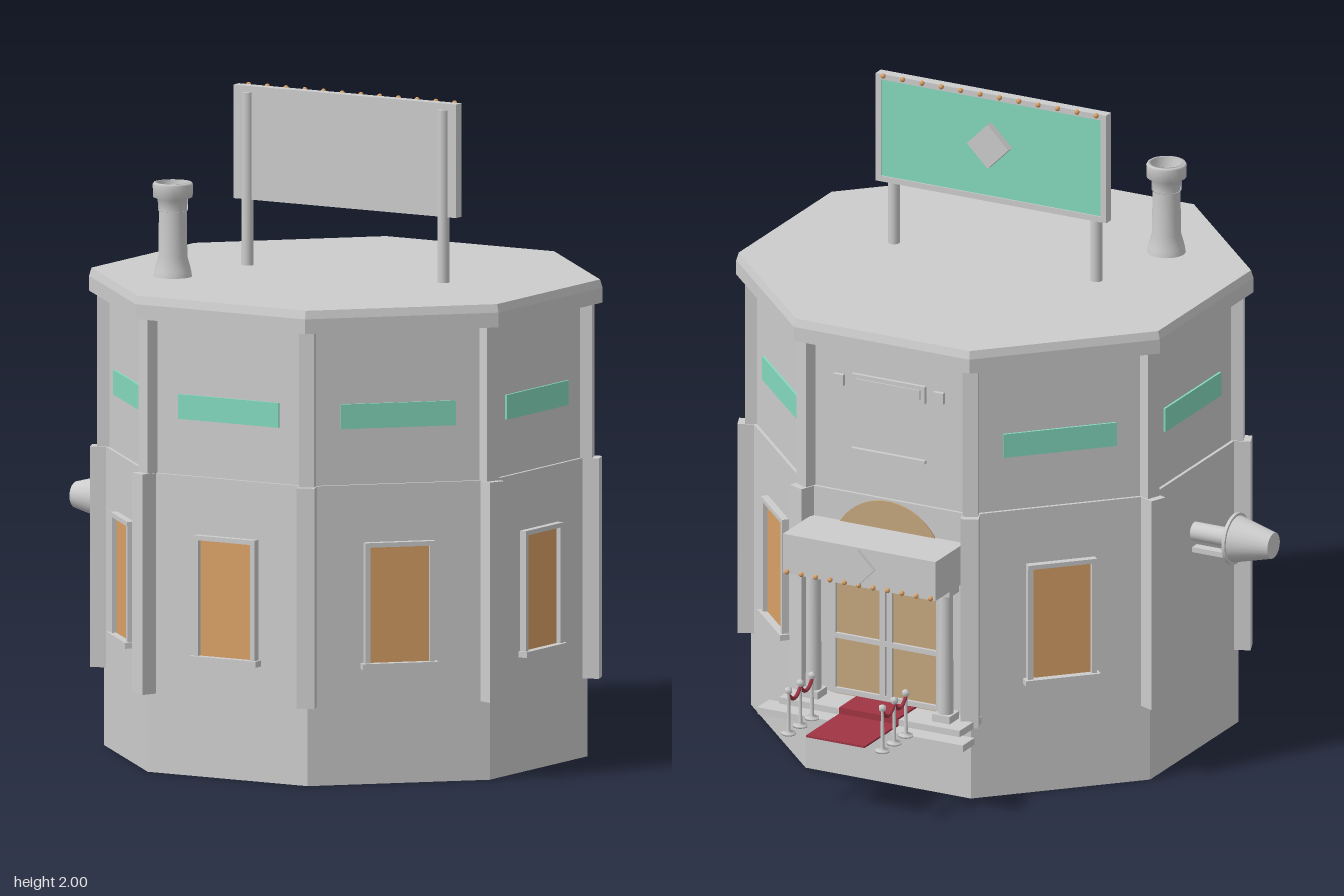
import * as THREE from 'three';

const mat = (name, color) => {
  const m = new THREE.MeshStandardMaterial({ color });
  m.name = name;
  return m;
};

export function createModel() {
  const grey = mat('stone grey', 0xcccccc);
  const teal = mat('teal glass', 0x84d9be);
  const amber = mat('amber glass', 0xd9a066);
  const tan = mat('door tan', 0xc4a57c);
  const red = mat('carpet red', 0xa03444);

  const model = new THREE.Group();
  model.name = 'octagonalTheatre';
  const CX = 0.11, CZ = 0.157, A = 0.68, UP = 0.67;

  const add = (parent, name, geo, m, x = 0, y = 0, z = 0) => {
    const mesh = new THREE.Mesh(geo, m);
    mesh.name = name;
    mesh.position.set(x, y, z);
    parent.add(mesh);
    return mesh;
  };
  const box = (p, name, m, w, h, d, x, y, z) =>
    add(p, name, new THREE.BoxGeometry(w, h, d), m, x, y, z);
  const group = (parent, name, x = 0, y = 0, z = 0, ry = 0) => {
    const g = new THREE.Group();
    g.name = name;
    g.position.set(x, y, z);
    g.rotation.y = ry;
    parent.add(g);
    return g;
  };
  // Flat-sided octagonal prism given by its apothem
  const octagon = (name, a, y0, y1, aTop = a) => {
    const k = 1 / Math.cos(Math.PI / 8);
    let geo = new THREE.CylinderGeometry(aTop * k, a * k, y1 - y0, 8);
    geo.rotateY(Math.PI / 8);
    geo = geo.toNonIndexed();
    geo.computeVertexNormals();
    return add(model, name, geo, grey, CX, (y0 + y1) / 2, CZ);
  };
  // Rod lying along the local z axis
  const rod = (p, name, r0, r1, z0, z1, x, y) => {
    const geo = new THREE.CylinderGeometry(r1, r0, z1 - z0, 24).rotateX(Math.PI / 2);
    return add(p, name, geo, grey, x, y, (z0 + z1) / 2);
  };

  // Tower body and roof
  octagon('lowerWalls', A, 0, 0.91);
  octagon('upperWalls', UP, 0.91, 1.39);
  octagon('cornice', 0.722, 1.38, 1.425);
  octagon('roofSlab', 0.722, 1.425, 1.45, 0.715);

  // Corner pilasters
  for (let i = 0; i < 8; i++) {
    const corner = group(model, 'cornerPilaster', CX, 0, CZ, (i + 0.5) * Math.PI / 4);
    box(corner, 'lowerPilaster', grey, 0.054, 0.67, 0.07, 0, 0.575, 0.74);
    box(corner, 'upperPilaster', grey, 0.046, 0.47, 0.06, 0, 1.145, 0.723);
  }

  // Walls: local +z points outwards from each face
  const faces = [];
  for (let i = 0; i < 8; i++) faces.push(group(model, 'wallFace', CX, 0, CZ, i * Math.PI / 4));
  faces.forEach((f, i) => {
    if (i === 4) return;
    box(f, 'upperWindow', teal, 0.355, 0.075, 0.008, 0, 1.118, UP + 0.003);
    if (i === 6) return;
    box(f, 'windowPane', amber, 0.19, 0.36, 0.008, 0, 0.545, A + 0.003);
    for (const s of [-1, 1]) box(f, 'windowJamb', grey, 0.016, 0.37, 0.022, s * 0.1, 0.545, A + 0.01);
    box(f, 'windowHead', grey, 0.216, 0.014, 0.024, 0, 0.728, A + 0.01);
    box(f, 'windowSill', grey, 0.235, 0.018, 0.034, 0, 0.36, A + 0.014);
  });

  // Tapered lamp on the side wall
  const lamp = group(faces[6], 'sideLamp');
  rod(lamp, 'lampPipe', 0.029, 0.029, 0.66, 0.83, 0, 0.705);
  rod(lamp, 'lampRim', 0.08, 0.08, 0.815, 0.825, 0, 0.705);
  rod(lamp, 'lampCone', 0.072, 0.04, 0.825, 0.95, 0, 0.705);
  box(lamp, 'lampBracket', grey, 0.03, 0.016, 0.15, 0, 0.65, 0.745);

  // Chimney
  const flue = [[0.058, 0], [0.055, 0.02], [0.044, 0.06], [0.042, 0.2], [0.045, 0.235], [0.06, 0.242],
    [0.061, 0.28], [0.057, 0.286], [0.047, 0.286], [0.045, 0.2], [0, 0.2]];
  const flueGeo = new THREE.LatheGeometry(flue.map(([r, y]) => new THREE.Vector2(r, y)), 28);
  add(model, 'chimney', flueGeo, grey, -0.305, 1.45, 0.475);

  // Roof billboard, facing the entrance side
  const board = group(model, 'billboard', CX, 0, 0);
  box(board, 'boardBack', grey, 0.785, 0.345, 0.022, 0, 1.822, 0.153);
  box(board, 'boardPanel', teal, 0.75, 0.31, 0.008, 0, 1.822, 0.139);
  for (const s of [-1, 1]) {
    add(board, 'boardPost', new THREE.CylinderGeometry(0.018, 0.018, 0.53, 16), grey, s * 0.345, 1.71, 0.159);
    box(board, 'boardSideTrim', grey, 0.018, 0.345, 0.012, s * 0.3835, 1.822, 0.137);
    box(board, 'boardEdgeTrim', grey, 0.785, 0.018, 0.012, 0, 1.822 + s * 0.1635, 0.137);
  }
  box(board, 'boardOrnament', grey, 0.1, 0.1, 0.026, 0, 1.833, 0.123).rotation.z = Math.PI / 4;
  for (let i = 0; i < 12; i++)
    add(board, 'boardBulb', new THREE.SphereGeometry(0.008, 10, 8), amber, (i - 5.5) * 0.066, 1.992, 0.124);

  // Entrance: steps
  const door = group(faces[4], 'entrance');
  box(door, 'landing', grey, 0.56, 0.04, 0.07, 0, 0.24, 0.695);
  box(door, 'upperStep', grey, 0.615, 0.022, 0.14, 0, 0.25, 0.73);
  box(door, 'lowerStep', grey, 0.7, 0.022, 0.075, 0, 0.23, 0.822);

  // Double door with arched top light
  const arch = new THREE.Shape();
  arch.moveTo(-0.19, 0.26);
  arch.lineTo(0.19, 0.26);
  arch.lineTo(0.19, 0.715);
  arch.absarc(0, 0.715, 0.19, 0, Math.PI, false);
  arch.closePath();
  add(door, 'doorGlass', new THREE.ExtrudeGeometry(arch, { depth: 0.006, bevelEnabled: false, curveSegments: 20 }),
    tan, 0, 0, A);
  for (const x of [-0.18, -0.012, 0.012, 0.18])
    box(door, 'doorStile', grey, 0.018, 0.42, 0.016, x, 0.475, A + 0.008);
  for (const y of [0.275, 0.45, 0.67])
    box(door, 'doorRail', grey, 0.36, 0.016, 0.016, 0, y, A + 0.008);
  for (const s of [-1, 1]) {
    add(door, 'doorColumn', new THREE.CylinderGeometry(0.022, 0.024, 0.42, 16), grey, s * 0.225, 0.47, 0.735);
    box(door, 'columnBase', grey, 0.06, 0.025, 0.06, s * 0.225, 0.272, 0.735);
    box(door, 'columnCapital', grey, 0.06, 0.025, 0.06, s * 0.225, 0.68, 0.735);
  }

  // Canopy with bulbs along its lower edge
  box(door, 'canopy', grey, 0.52, 0.125, 0.19, 0, 0.753, 0.77);
  box(door, 'canopyOrnament', grey, 0.08, 0.08, 0.02, 0, 0.755, 0.868).rotation.z = Math.PI / 4;
  for (let i = 0; i < 11; i++)
    add(door, 'canopyBulb', new THREE.SphereGeometry(0.008, 10, 8), amber, (i - 5) * 0.049, 0.697, 0.868);

  // Trim on the wall above the entrance
  box(door, 'wallPlaque', grey, 0.25, 0.055, 0.012, 0, 1.265, UP + 0.005);
  box(door, 'plaqueInset', grey, 0.22, 0.03, 0.006, 0, 1.265, UP + 0.012);
  for (const s of [-1, 1]) box(door, 'wallStud', grey, 0.035, 0.035, 0.014, s * 0.17, 1.265, UP + 0.006);
  box(door, 'wallLedge', grey, 0.25, 0.01, 0.014, 0, 1.05, UP + 0.006);

  // Carpet running down the steps
  box(door, 'carpetTop', red, 0.2, 0.006, 0.12, 0, 0.264, 0.744);
  box(door, 'carpetRiser', red, 0.2, 0.025, 0.006, 0, 0.2545, 0.803);
  box(door, 'carpetRunner', red, 0.2, 0.006, 0.215, 0, 0.244, 0.91);

  // Rope barriers on both sides of the carpet
  const posts = [0.867, 0.941, 1.016];
  const pole = [[0, 0], [0.022, 0], [0.022, 0.006], [0.006, 0.012], [0.005, 0.128], [0.011, 0.134],
    [0.011, 0.146], [0, 0.152]].map(([r, y]) => new THREE.Vector2(r, y));
  for (const s of [-1, 1]) {
    const barrier = group(door, 'ropeBarrier', s * 0.16, 0.24, 0);
    for (const z of posts) add(barrier, 'barrierPost', new THREE.LatheGeometry(pole, 14), grey, 0, 0, z);
    for (let i = 0; i < 2; i++) {
      const rope = new THREE.QuadraticBezierCurve3(
        new THREE.Vector3(0, 0.128, posts[i]),
        new THREE.Vector3(0, 0.078, (posts[i] + posts[i + 1]) / 2),
        new THREE.Vector3(0, 0.128, posts[i + 1]));
      add(barrier, 'barrierRope', new THREE.TubeGeometry(rope, 12, 0.006, 8), red);
    }
  }
  return model;
}
